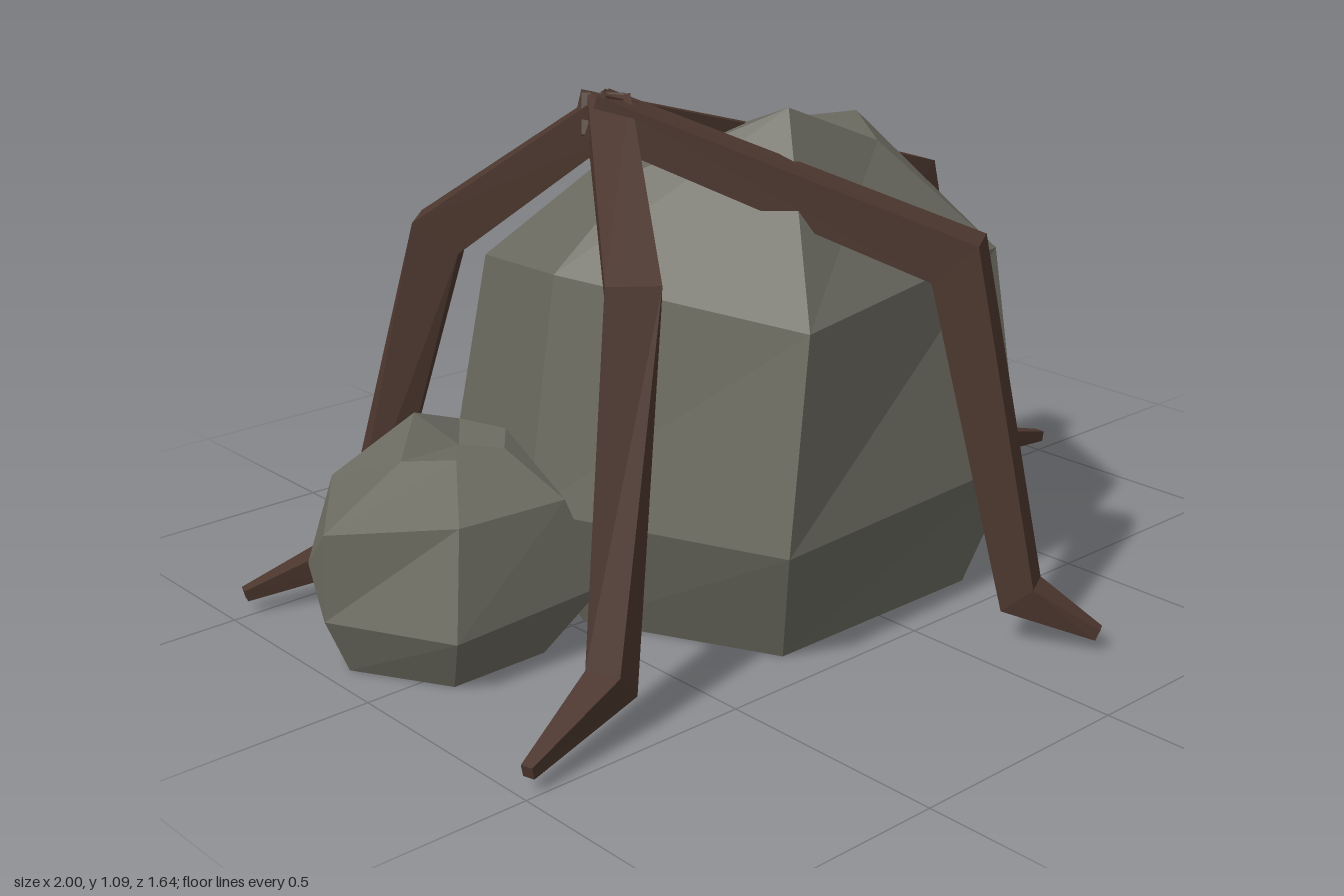
import * as THREE from 'three';

const stone = new THREE.MeshStandardMaterial({ color: 0x6b6a60 });
stone.name = 'stone grey';
const bark = new THREE.MeshStandardMaterial({ color: 0x4c372e });
bark.name = 'root brown';

// Skin a stack of equal-sized rings and cap both ends, with hard facets.
function loft(name, rings, top, bottom, material) {
  const pos = [];
  const tri = (...pts) => pts.forEach((p) => pos.push(...p));
  const n = rings[0].length;
  const centre = (ring) => [0, 1, 2].map((k) => ring.reduce((s, p) => s + p[k], 0) / n);
  const first = rings[0], last = rings[rings.length - 1];
  const lo = bottom || centre(first), hi = top || centre(last);
  for (let i = 0; i < n; i++) {
    const j = (i + 1) % n;
    for (let r = 0; r < rings.length - 1; r++) {
      const a = rings[r], b = rings[r + 1];
      tri(a[i], b[i], a[j]);
      tri(a[j], b[i], b[j]);
    }
    tri(lo, first[i], first[j]);
    tri(hi, last[j], last[i]);
  }
  const geometry = new THREE.BufferGeometry();
  geometry.setAttribute('position', new THREE.Float32BufferAttribute(pos, 3));
  geometry.computeVertexNormals();
  const mesh = new THREE.Mesh(geometry, material);
  mesh.name = name;
  return mesh;
}

// Square root section swept along a path, mitred at the bends.
function root(name, path, widths) {
  const pts = path.map((p) => new THREE.Vector3(...p));
  const up = new THREE.Vector3(0, 1, 0);
  const rings = pts.map((p, i) => {
    const before = p.clone().sub(pts[Math.max(i - 1, 0)]).normalize();
    const after = pts[Math.min(i + 1, pts.length - 1)].clone().sub(p).normalize();
    const t = before.clone().add(after).normalize();
    const side = up.clone().cross(t).normalize();
    const normal = t.clone().cross(side);
    const inner = i > 0 && i < pts.length - 1;
    const miter = inner ? 1 / Math.max(0.7, before.dot(t)) : 1;
    const w = widths[i] / 2;
    return [[1, 1], [-1, 1], [-1, -1], [1, -1]].map(([a, b]) =>
      p.clone().addScaledVector(normal, a * w * miter).addScaledVector(side, b * w).toArray());
  });
  return loft(name, rings, null, null, bark);
}

export function createModel() {
  const group = new THREE.Group();
  group.name = 'rockWithRoots';

  // Rings run from +x round through the front.
  const bigRings = [
    [[0.44, 0, 0], [0.26, 0, 0.40], [-0.28, 0, 0.40], [-0.47, 0, 0], [-0.30, 0, -0.38], [0.25, 0, -0.38]],
    [[0.80, 0.27, 0], [0.36, 0.27, 0.46], [-0.35, 0.26, 0.49], [-0.58, 0.27, -0.03], [-0.38, 0.27, -0.55], [0.36, 0.27, -0.51]],
    [[0.62, 0.66, 0], [0.38, 0.72, 0.36], [-0.27, 0.69, 0.46], [-0.50, 0.75, -0.03], [-0.34, 0.67, -0.48], [0.32, 0.67, -0.48]],
    [[0.32, 0.97, 0], [0.20, 0.95, 0.18], [-0.04, 1.05, 0.16], [-0.28, 0.93, -0.02], [-0.20, 0.88, -0.27], [0.20, 0.89, -0.28]],
  ];
  group.add(loft('bigRock', bigRings, [0.03, 0.98, -0.04], null, stone));

  const smallRings = [
    [[-0.55, 0, -0.14], [-0.62, 0, 0.06], [-0.84, 0, 0.06], [-0.95, 0, -0.14], [-0.84, 0, -0.34], [-0.62, 0, -0.34]],
    [[-0.47, 0.13, -0.14], [-0.52, 0.14, 0.13], [-0.87, 0.12, 0.12], [-1.0, 0.12, -0.14], [-0.87, 0.12, -0.41], [-0.52, 0.14, -0.41]],
    [[-0.50, 0.31, -0.14], [-0.58, 0.33, 0.09], [-0.82, 0.33, 0.07], [-0.99, 0.30, -0.14], [-0.83, 0.32, -0.36], [-0.57, 0.33, -0.37]],
    [[-0.55, 0.41, -0.14], [-0.62, 0.41, -0.05], [-0.73, 0.41, -0.06], [-0.80, 0.40, -0.15], [-0.71, 0.46, -0.23], [-0.60, 0.42, -0.23]],
  ];
  group.add(loft('smallRock', smallRings, [-0.66, 0.40, -0.15], null, stone));

  // Five roots meet at the hub, bend at a knee and an ankle, and end in a pointed toe.
  const legs = {
    frontLeftRoot: [[-0.35, 1.05, -0.07], [0.07, 0.79, 0.53], [0.13, 0.10, 0.67], [0.21, 0.035, 0.81]],
    backLeftRoot: [[-0.35, 1.05, -0.05], [0.09, 0.79, -0.53], [0.16, 0.10, -0.67], [0.24, 0.035, -0.81]],
    frontRightRoot: [[-0.32, 1.05, -0.07], [-0.57, 0.79, 0.30], [-0.73, 0.10, 0.41], [-0.98, 0.04, 0.48]],
    backRightRoot: [[-0.31, 1.05, -0.06], [-0.56, 0.79, -0.33], [-0.71, 0.10, -0.45], [-0.96, 0.04, -0.52]],
    leftRoot: [[-0.37, 1.05, -0.07], [0.49, 0.79, -0.01], [0.68, 0.10, 0], [1.0, 0.04, 0]],
  };
  for (const [name, path] of Object.entries(legs)) {
    group.add(root(name, path, [0.085, 0.105, 0.075, 0.025]));
  }
  return group;
}
